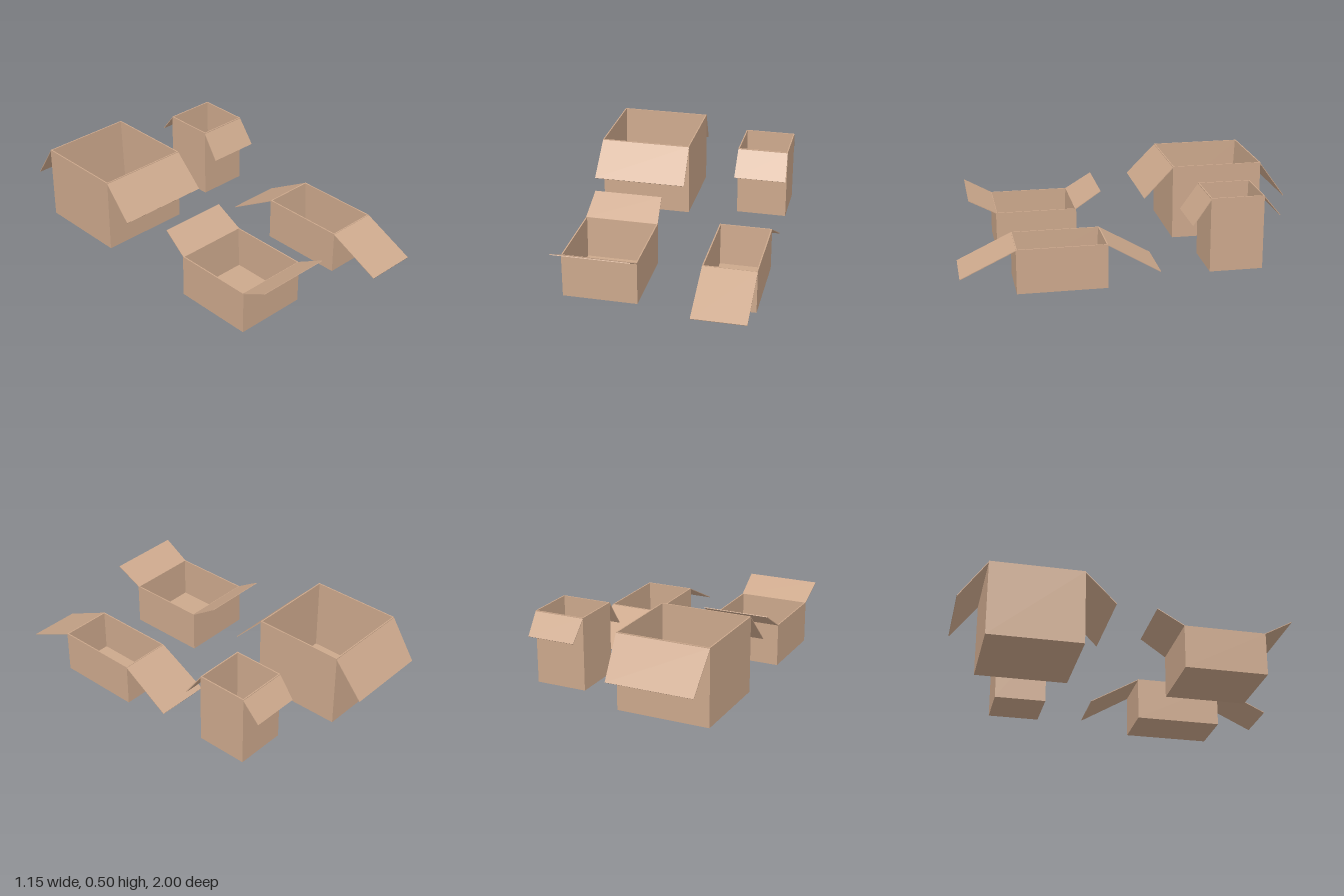
import * as THREE from 'three';

const WALL = 0.007, FLAP = 0.004;

// x0..x1, z0..z1, y0..y1 of each carton; flaps give tip z, tip y and half-width change at the tip
const CARTONS = [
  { name: 'largeCarton', x: [-0.57, -0.03], y: [0.055, 0.497], z: [-0.84, -0.303],
    front: [-0.13, 0.312, 0.006], back: [-0.998, 0.275, -0.017], lean: 0.02 },
  { name: 'tallCarton', x: [0.26, 0.562], y: [0.055, 0.481], z: [-0.685, -0.382],
    front: [-0.282, 0.33, 0.005], back: [-0.78, 0.36, -0.009], lean: 0.007 },
  { name: 'wideCarton', x: [-0.512, -0.086], y: [0, 0.254], z: [0.27, 0.745],
    front: [0.903, 0.34, 0.007], back: [0.12, 0.35, -0.014], lean: 0.01 },
  { name: 'longCarton', x: [0.26, 0.562], y: [0, 0.254], z: [0.19, 0.693],
    front: [0.997, 0.105, 0], back: [-0.103, 0.078, 0.008], lean: 0.013 },
];

// Thin tapering panel from the hinge to the tip
function flapGeometry(cx, halfWidth, hinge, [tipZ, tipY, flare]) {
  const geo = new THREE.BoxGeometry(2, FLAP, 1);
  const dz = tipZ - hinge.z, dy = tipY - hinge.y;
  const len = Math.hypot(dz, dy), side = Math.sign(dz);
  const nz = -dy * side / len, ny = Math.abs(dz) / len;
  const p = geo.attributes.position;
  for (let i = 0; i < p.count; i++) {
    const s = 0.5 + side * p.getZ(i), t = p.getY(i);
    p.setXYZ(i, cx + p.getX(i) * (halfWidth + flare * s),
      hinge.y + dy * s + ny * t, hinge.z + dz * s + nz * t);
  }
  geo.computeVertexNormals();
  return geo;
}

function makeCarton(c, material) {
  const group = new THREE.Group();
  group.name = c.name;
  const [x0, x1] = c.x, [y0, y1] = c.y, [z0, z1] = c.z;
  const w = x1 - x0, h = y1 - y0, d = z1 - z0;
  const cx = (x0 + x1) / 2, cy = (y0 + y1) / 2, cz = (z0 + z1) / 2;
  const add = (name, geo, x = 0, y = 0, z = 0) => {
    const mesh = new THREE.Mesh(geo, material);
    mesh.name = name;
    mesh.position.set(x, y, z);
    group.add(mesh);
  };

  // Floor and side walls
  add('floor', new THREE.BoxGeometry(w, WALL, d), cx, y0 + WALL / 2, cz);
  for (const [name, s] of [['leftWall', 1], ['rightWall', -1]]) {
    add(name, new THREE.BoxGeometry(WALL, h, d), cx + s * (w - WALL) / 2, cy, cz);
  }
  add('frontWall', new THREE.BoxGeometry(w, h, WALL), cx, cy, z1 - WALL / 2);

  // Back wall, with its inner face leaning in towards the floor
  const back = new THREE.BoxGeometry(w, h, WALL);
  const p = back.attributes.position;
  for (let i = 0; i < p.count; i++) {
    if (p.getZ(i) > 0 && p.getY(i) < 0) p.setZ(i, p.getZ(i) + c.lean);
  }
  back.computeVertexNormals();
  add('backWall', back, cx, cy, z0 + WALL / 2);

  // Open lid flaps
  const hingeY = y1 - FLAP / 2;
  add('frontFlap', flapGeometry(cx, w / 2, { z: z1 - 0.004, y: hingeY }, c.front));
  add('backFlap', flapGeometry(cx, w / 2, { z: z0 + 0.004, y: hingeY }, c.back));
  return group;
}

export function createModel() {
  const cardboard = new THREE.MeshStandardMaterial({ color: 0xcca88c });
  cardboard.name = 'cardboard';
  const model = new THREE.Group();
  model.name = 'openCartons';
  for (const c of CARTONS) model.add(makeCarton(c, cardboard));
  return model;
}
